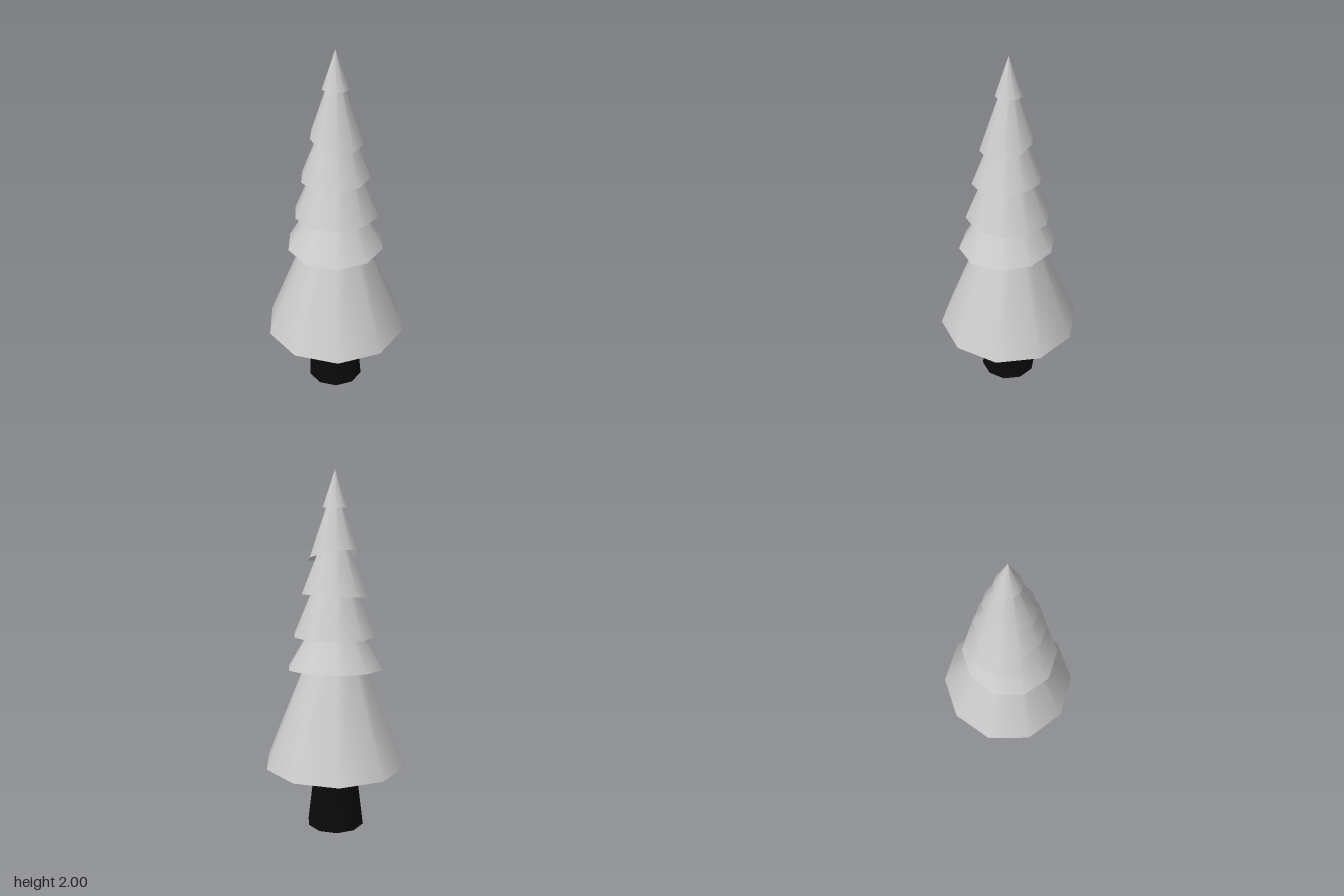
import * as THREE from 'three';

const SIDES = 10;

// Open cone skirt whose lower rim slants (tiltX, tiltZ) while staying on the cone surface
function makeTier({ y, r, topY, topR, tiltX = 0, tiltZ = 0, z = 0 }, material) {
  const height = topY - y;
  const geometry = new THREE.CylinderGeometry(topR, r, height, SIDES, 1, true);
  geometry.translate(0, height / 2, 0);
  const slope = (r - topR) / height;
  const pos = geometry.attributes.position;
  for (let i = 0; i < pos.count; i++) {
    if (pos.getY(i) > height / 2) continue;
    const dy = tiltX * pos.getX(i) + tiltZ * pos.getZ(i);
    const k = (r - slope * dy) / r;
    pos.setXYZ(i, pos.getX(i) * k, dy, pos.getZ(i) * k);
  }
  const tier = new THREE.Mesh(geometry, material);
  tier.position.set(0, y, z);
  return tier;
}

export function createModel() {
  const tree = new THREE.Group();
  tree.name = 'pineTree';

  const foliage = new THREE.MeshStandardMaterial({ color: 0xcccccc, side: THREE.DoubleSide });
  const bark = new THREE.MeshStandardMaterial({ color: 0x0a0a0a });

  // Tapered trunk reaching up inside the lowest tier
  const trunkHeight = 0.49;
  const trunk = new THREE.Mesh(new THREE.CylinderGeometry(0.104, 0.165, trunkHeight, SIDES), bark);
  trunk.name = 'trunk';
  trunk.position.set(-0.002, trunkHeight / 2, 0);
  tree.add(trunk);

  // Foliage tiers, bottom to top, each tucked inside the next
  const tiers = [
    { y: 0.375, r: 0.407, topY: 1.03, topR: 0.138 },
    { y: 0.922, r: 0.272, topY: 1.21, topR: 0.1, tiltX: 0.04, tiltZ: -0.046 },
    { y: 1.11, r: 0.234, topY: 1.43, topR: 0.096, z: 0.005 },
    { y: 1.33, r: 0.19, topY: 1.64, topR: 0.063, tiltX: 0.083, tiltZ: -0.03, z: 0.005 },
    { y: 1.545, r: 0.141, topY: 1.86, topR: 0.03, tiltX: 0.05, tiltZ: -0.27 },
    { y: 1.8, r: 0.07, topY: 2, topR: 0 },
  ];
  tiers.forEach((spec, i) => {
    const tier = makeTier(spec, foliage);
    tier.name = i === tiers.length - 1 ? 'treeTip' : `foliageTier${i + 1}`;
    tree.add(tier);
  });

  return tree;
}
